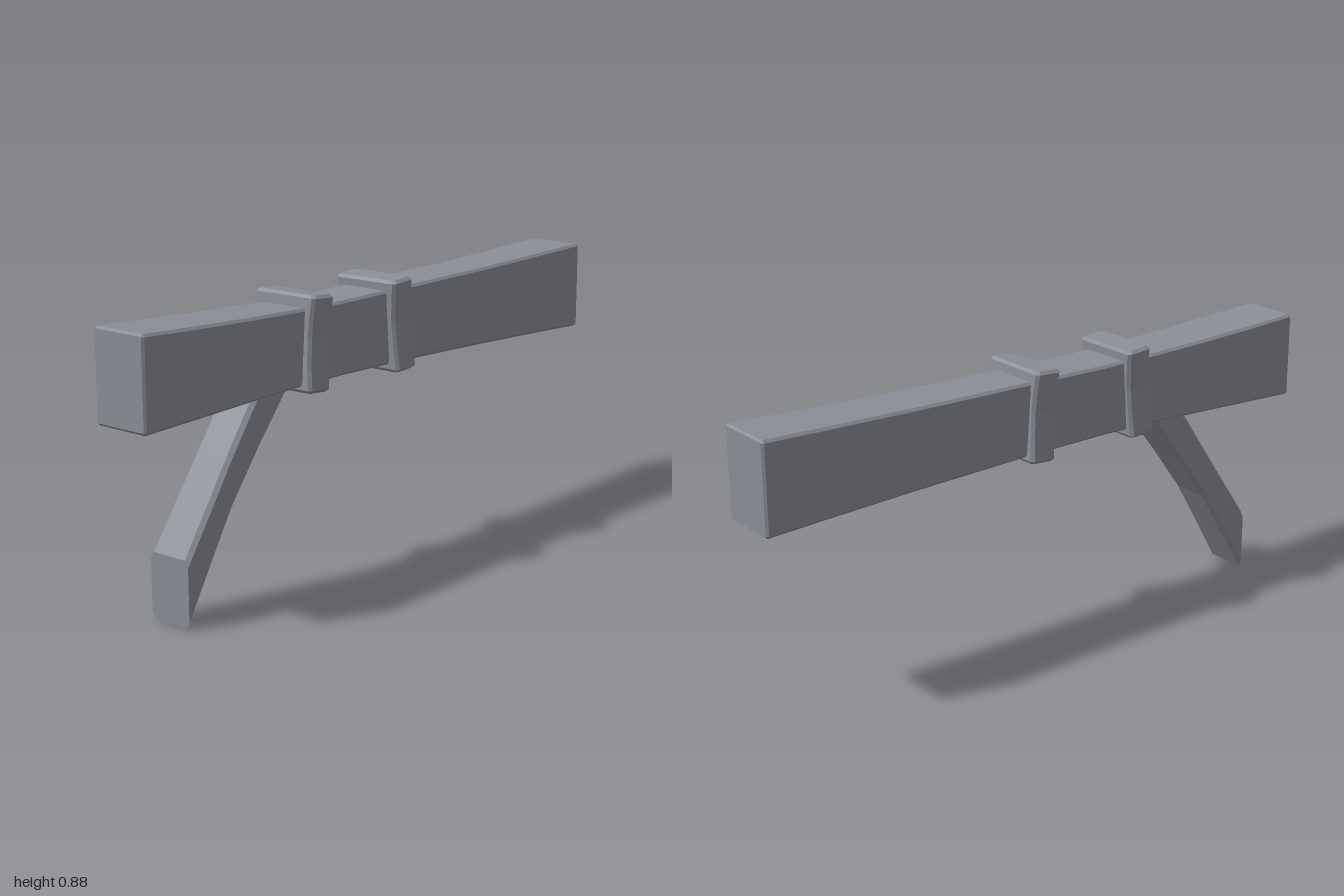
import * as THREE from 'three';

// Chamfered rectangle, counter-clockwise in (u, v); bu and bv are the chamfer legs
function section(u0, u1, v0, v1, bu, bv) {
  return [
    [u1, v0 + bv], [u1, v1 - bv], [u1 - bu, v1], [u0 + bu, v1],
    [u0, v1 - bv], [u0, v0 + bv], [u0 + bu, v0], [u1 - bu, v0],
  ];
}

// Closed skin over a row of equal-sized cross-sections
function loft(rings) {
  const n = rings[0].length;
  const index = [];
  for (let r = 0; r < rings.length - 1; r++) {
    for (let i = 0; i < n; i++) {
      const j = (i + 1) % n;
      const a = r * n, b = a + n;
      index.push(a + i, a + j, b + j, a + i, b + j, b + i);
    }
  }
  const last = (rings.length - 1) * n;
  for (let i = 1; i < n - 1; i++) {
    index.push(0, i + 1, i, last, last + i, last + i + 1);
  }
  const geometry = new THREE.BufferGeometry();
  geometry.setAttribute('position', new THREE.Float32BufferAttribute(rings.flat(2), 3));
  geometry.setIndex(index);
  const flat = geometry.toNonIndexed();
  flat.computeVertexNormals();
  return flat;
}

// Section standing across x, given as y and z ranges
const acrossX = (x, y0, y1, z0, z1, by, bz) =>
  section(y0, y1, z0, z1, by, bz).map(([y, z]) => [x, y, z]);

// Section lying across y, centred on the axis
const acrossY = (y, hx, hz, b) =>
  section(-hz, hz, -hx, hx, b, b).map(([z, x]) => [x, y, z]);

export function createModel() {
  const model = new THREE.Group();
  const material = new THREE.MeshStandardMaterial({ color: 0x8b8e97, flatShading: true });
  const add = (name, rings) => {
    const mesh = new THREE.Mesh(loft(rings), material);
    mesh.name = name;
    model.add(mesh);
    return mesh;
  };

  // Horizontal beam, pinched near the bands and flared to both ends
  const beam = [
    [-1, 0.595, 0.855, 0.09, 0.002], [-0.993, 0.588, 0.861, 0.096, 0.008],
    [-0.8, 0.596, 0.852, 0.095, 0.008], [-0.6, 0.604, 0.844, 0.092, 0.008],
    [-0.4, 0.61, 0.838, 0.088, 0.008], [-0.2, 0.613, 0.836, 0.086, 0.008],
    [0.1, 0.61, 0.841, 0.086, 0.008], [0.5, 0.599, 0.848, 0.087, 0.008],
    [0.8, 0.59, 0.858, 0.093, 0.008], [0.993, 0.583, 0.865, 0.097, 0.008],
    [1, 0.589, 0.859, 0.09, 0.002],
  ];
  add('beam', beam.map(([x, y0, y1, h, b]) =>
    acrossX(x, y0, y1, -0.003 - h, -0.003 + h, b, b)));

  // Two slightly tilted bands with bevelled ends and pinched sides
  const bandProfile = [
    [-0.142, 0.038, 0.107], [-0.133, 0.045, 0.117], [-0.07, 0.045, 0.111],
    [0.02, 0.045, 0.107], [0.08, 0.045, 0.111], [0.133, 0.045, 0.117],
    [0.142, 0.038, 0.107],
  ];
  for (const [name, x, tilt] of [['rightBand', -0.33, -0.07], ['leftBand', 0.046, 0.07]]) {
    const band = add(name, bandProfile.map(([y, hx, hz]) => acrossY(y, hx, hz, 0.009)));
    band.position.set(x, 0.732, 0);
    band.rotation.z = tilt;
  }

  // Diagonal brace with an upright cut at its foot, tucked into the beam
  const brace = [
    [-0.84, 0, 0.2, 0.074], [-0.75, 0.15, 0.331, 0.071],
    [-0.66, 0.296, 0.464, 0.068], [-0.55, 0.445, 0.622, 0.068],
    [-0.415, 0.62, 0.815, 0.072],
  ];
  add('brace', brace.map(([x, y0, y1, h]) => acrossX(x, y0, y1, -h, h, 0.02, 0.013)));

  return model;
}
